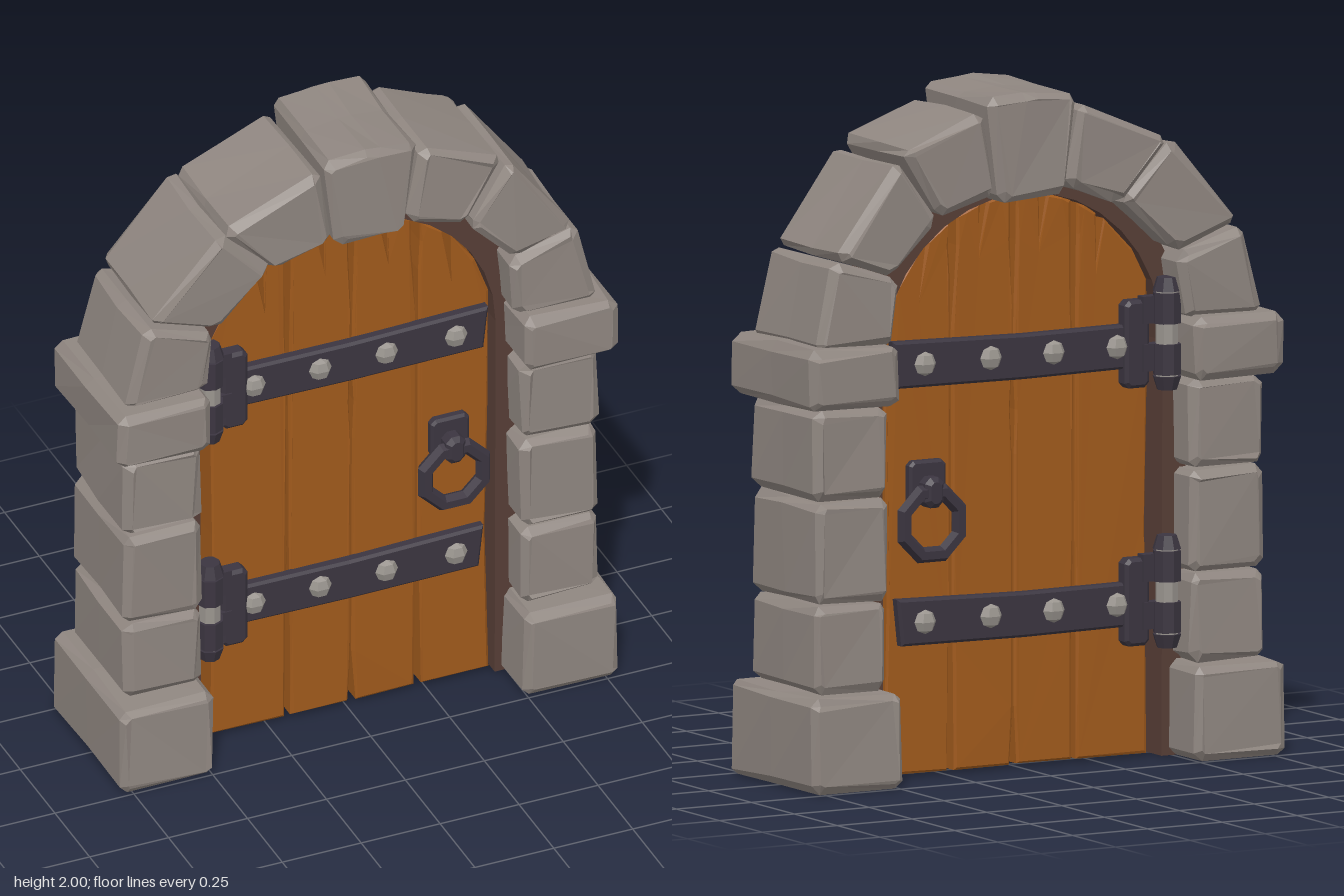
import * as THREE from 'three';

const mat = (name, color) => {
  const m = new THREE.MeshStandardMaterial({ color });
  m.name = name;
  return m;
};

export function createModel() {
  const model = new THREE.Group();
  model.name = 'archedDoor';
  const stone = mat('stone', 0x8f8680);
  const wood = mat('wood', 0xa05a1c);
  const darkWood = mat('darkWood', 0x573e36);
  const iron = mat('iron', 0x3b3540);
  const steel = mat('steel', 0x99948e);

  // Faceted normals for hand-hewn surfaces
  const flat = (geo) => {
    const g = geo.index ? geo.toNonIndexed() : geo;
    g.computeVertexNormals();
    return g;
  };
  const add = (name, geo, material, x = 0, y = 0, z = 0) => {
    const mesh = new THREE.Mesh(flat(geo), material);
    mesh.name = name;
    mesh.position.set(x, y, z);
    model.add(mesh);
    return mesh;
  };

  // Small repeatable offset depending only on position, so corners stay welded
  const hash = (x, y, z, k) => {
    const s = Math.sin(Math.round(x * 500) * 12.9 + Math.round(y * 500) * 78.2 + Math.round(z * 500) * 37.7 + k * 5.3) * 43758.5;
    return s - Math.floor(s) - 0.5;
  };
  const roughen = (geo, amount) => {
    const p = geo.attributes.position;
    for (let i = 0; i < p.count; i++) {
      const [x, y, z] = [p.getX(i), p.getY(i), p.getZ(i)];
      const dy = y < 0.005 ? 0 : amount * hash(x, y, z, 2);
      p.setXYZ(i, x + amount * hash(x, y, z, 1), y + dy, z + amount * hash(x, y, z, 3));
    }
    return geo;
  };

  // Bevelled slab from an outline, centred on z = 0
  const slab = (points, depth, bevel, steps = 1) => {
    const shape = new THREE.Shape(points.map(([x, y]) => new THREE.Vector2(x, y)));
    const geo = new THREE.ExtrudeGeometry(shape, {
      depth: depth - 2 * bevel, steps, bevelEnabled: bevel > 0,
      bevelThickness: bevel, bevelSize: bevel, bevelOffset: -bevel, bevelSegments: 1,
    });
    return geo.translate(0, 0, bevel - depth / 2);
  };
  // Cut the corners of an outline
  const chamfer = (points, cut) => points.flatMap((p, i) => {
    const n = points.length;
    return [points[(i + n - 1) % n], points[(i + 1) % n]].map((q) => {
      const t = cut / Math.hypot(q[0] - p[0], q[1] - p[1]);
      return [p[0] + (q[0] - p[0]) * t, p[1] + (q[1] - p[1]) * t];
    });
  });
  const rect = (x0, y0, x1, y1) => [[x0, y0], [x1, y0], [x1, y1], [x0, y1]];
  const addStone = (name, points, depth) =>
    add(name, roughen(slab(chamfer(points, 0.022), depth, 0.02, 2), 0.012), stone);

  // Pillars: base, three blocks and a capital on each side
  const courses = [
    ['pillarBase', 0.49, 0, 0.79, 0.28, 0.5],
    ['pillarStone', 0.508, 0.285, 0.75, 0.54, 0.385],
    ['pillarStone', 0.505, 0.548, 0.75, 0.845, 0.39],
    ['pillarStone', 0.508, 0.852, 0.75, 1.113, 0.385],
    ['pillarCapital', 0.495, 1.12, 0.79, 1.3, 0.485],
  ];
  for (const s of [-1, 1]) {
    for (const [name, x0, y0, x1, y1, d] of courses) addStone(name, rect(s * x0, y0, s * x1, y1), d);
  }

  // Arch stones, from one capital over the keystone to the other
  const arch = [
    [[-0.745, 1.29], [-0.685, 1.555], [-0.465, 1.485], [-0.495, 1.29]],
    [[-0.67, 1.565], [-0.445, 1.825], [-0.28, 1.66], [-0.455, 1.495]],
    [[-0.435, 1.825], [-0.13, 1.955], [-0.095, 1.71], [-0.27, 1.65]],
    [[-0.12, 1.985], [0.03, 2.002], [0.175, 1.99], [0.135, 1.685], [-0.085, 1.695]],
    [[0.19, 1.955], [0.45, 1.855], [0.335, 1.655], [0.145, 1.71]],
    [[0.47, 1.835], [0.675, 1.555], [0.485, 1.495], [0.34, 1.64]],
    [[0.685, 1.55], [0.745, 1.29], [0.49, 1.29], [0.47, 1.485]],
  ];
  arch.forEach((pts, i) => addStone(i === 3 ? 'keystone' : 'archStone', pts, i === 3 ? 0.41 : 0.385));

  // Dark wooden frame lining the opening
  const arc = (r, from, to, n) => Array.from({ length: n + 1 }, (_, i) => {
    const a = from + ((to - from) * i) / n;
    return [r * Math.cos(a), 1.22 + r * Math.sin(a)];
  });
  const frame = [[0.545, 0], ...arc(0.545, 0, Math.PI, 16), [-0.545, 0],
    [-0.465, 0], ...arc(0.468, Math.PI, 0, 16), [0.465, 0]];
  add('doorFrame', slab(frame, 0.17, 0), darkWood);

  // Four planks; each joint is tight in the middle and splits open at the ends
  const T = 0.002;
  const joint = (x, rows) => rows.map(([y, gap, shift = 0]) => ({ x: x + shift, y, gap }));
  const joints = [
    joint(-0.425, [[0.01, 0], [0.7, 0, 0.004], [1.2, 0, -0.003]]),
    joint(-0.182, [[0.01, 0.009], [0.36, 0.008], [0.65, T], [1.15, T], [1.36, 0.008], [1.55, 0.01]]),
    joint(0.02, [[0.01, 0.012], [0.18, T], [0.92, T], [1.05, 0.008], [1.2, T], [1.36, T], [1.55, 0.01]]),
    joint(0.228, [[0.01, 0.011], [0.38, 0.008], [0.5, T], [1.3, T], [1.45, 0.008, -0.004], [1.55, 0.014, -0.006]]),
    joint(0.453, [[0.01, 0], [0.5, 0, -0.012], [0.9, 0, -0.004], [1.2, 0]]),
  ];
  const topY = (x) => 1.22 + Math.sqrt(0.464 ** 2 - x * x);
  const cracks = [-0.27, -0.08, 0.12, 0.32];
  for (let i = 0; i < 4; i++) {
    const left = joints[i].map((j) => [j.x + j.gap, j.y]);
    const right = joints[i + 1].map((j) => [j.x - j.gap, j.y]);
    const x0 = left.at(-1)[0], x1 = right.at(-1)[0], c = cracks[i];
    const top = [x1, (x1 * 2 + c) / 3, c + 0.012].map((x) => [x, topY(x)]);
    const top2 = [c - 0.012, (x0 * 2 + c) / 3, x0].map((x) => [x, topY(x)]);
    const split = [c + 0.015, topY(c) - 0.16];
    const outline = [...right, ...top, split, ...top2, ...left.reverse()];
    add('doorPlank', roughen(slab(outline, 0.14, 0.007), 0.004), wood);
  }

  // Ironwork, repeated on both faces of the door
  for (const s of [1, -1]) {
    for (const [y, end] of [[1.215, 0.44], [0.458, 0.425]]) {
      const strap = [[-0.35, y - 0.068], [0.0, y - 0.072], [end - 0.015, y - 0.068], [end, y + 0.07], [0, y + 0.06], [-0.35, y + 0.062]];
      add('hingeStrap', slab(strap, 0.04, 0.008), iron, 0, 0, s * 0.082);
      add('hingePlate', slab(chamfer(rect(-0.41, y - 0.125, -0.328, y + 0.133), 0.015), 0.055, 0.01), iron, 0, 0, s * 0.09);
      // Pin wrapped by knuckles
      const cy = y + 0.033;
      add('hingePin', new THREE.CylinderGeometry(0.034, 0.034, 0.27, 8), steel, -0.457, cy, s * 0.13);
      for (const e of [-1, 1]) {
        add('hingeCap', new THREE.CylinderGeometry(e > 0 ? 0.03 : 0.043, e > 0 ? 0.043 : 0.03, 0.04, 8), iron, -0.457, cy + e * 0.145, s * 0.13);
        add('hingeKnuckle', new THREE.CylinderGeometry(0.042, 0.042, 0.09, 8), iron, -0.457, cy + e * 0.075, s * 0.13);
        add('hingeTab', new THREE.BoxGeometry(0.075, 0.08, 0.035), iron, -0.42, cy + e * 0.07, s * 0.105);
      }
      for (const x of [-0.305, -0.095, 0.115, 0.335]) {
        const rivet = new THREE.SphereGeometry(0.036, 6, 4).scale(1, 1, 0.7);
        add('rivet', rivet, steel, x, y, s * (x < -0.3 ? 0.106 : 0.103));
      }
    }

    // Ring handle hanging from a plate
    add('handlePlate', slab(chamfer(rect(0.26, 0.8, 0.382, 0.93), 0.014), 0.035, 0.008), iron, 0, 0, s * 0.08);
    add('handleBracket', slab(chamfer(rect(0.29, 0.795, 0.352, 0.885), 0.018), 0.075, 0.014), iron, 0, 0, s * 0.108);
    const ring = new THREE.TorusGeometry(0.098, 0.025, 6, 8).rotateZ(Math.PI / 8);
    add('handleRing', ring, iron, 0.322, 0.748, s * 0.118);
  }
  return model;
}
